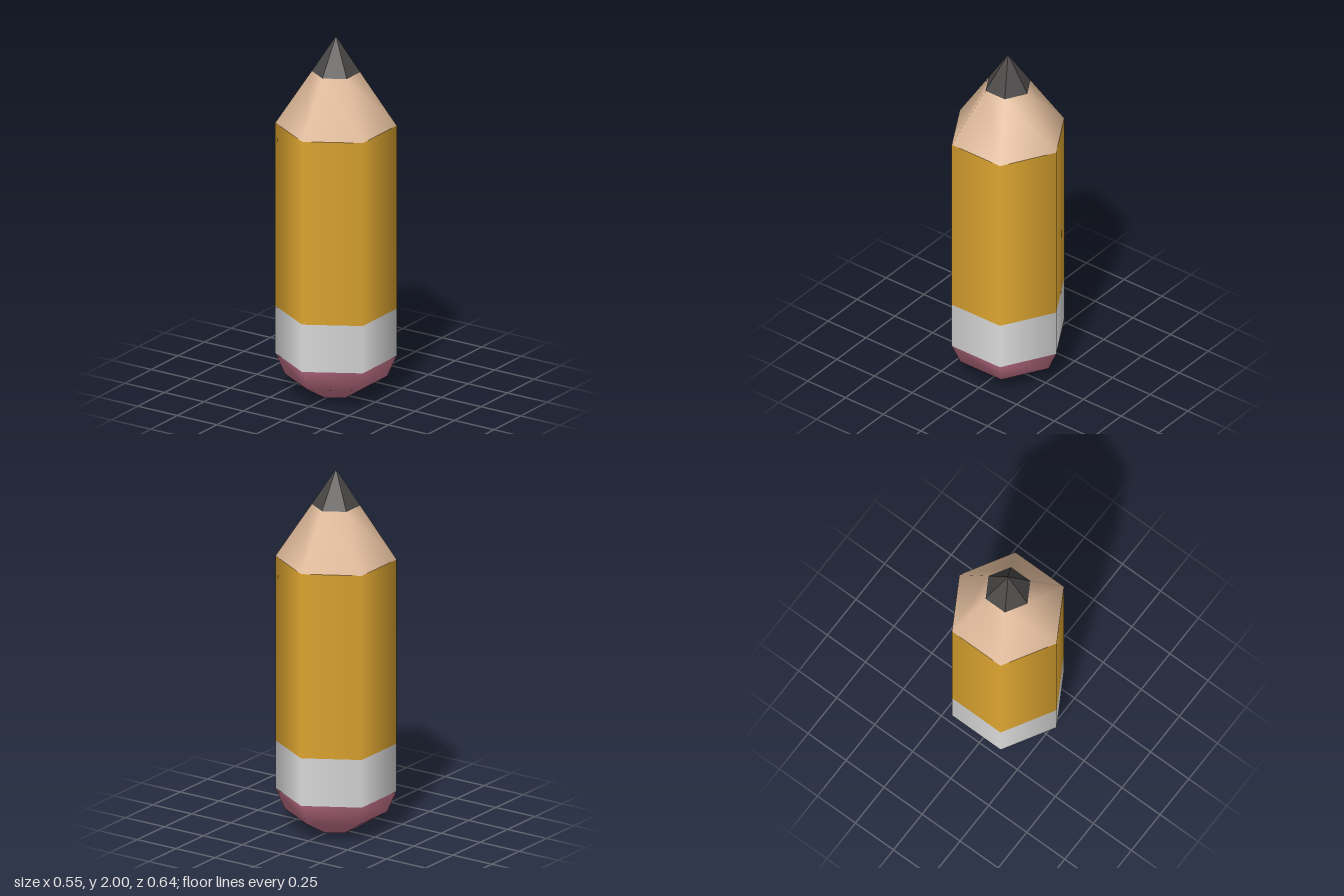
import * as THREE from 'three';

const SIDES = 6;
const RADIUS = 0.32;

const material = (name, color) => {
  const m = new THREE.MeshStandardMaterial({ color });
  m.name = name;
  return m;
};

// Smooth six-sided shell from a [radius, height] profile, bottom to top
function shell(name, profile, mat) {
  const points = profile.map(([r, y]) => new THREE.Vector2(r, y));
  const mesh = new THREE.Mesh(new THREE.LatheGeometry(points, SIDES), mat);
  mesh.name = name;
  return mesh;
}

export function createModel() {
  const pencil = new THREE.Group();
  pencil.name = 'pencil';

  // Rounded eraser, metal band, painted barrel and sharpened wood
  pencil.add(
    shell('eraser', [[0, 0], [0.107, 0.005], [0.27, 0.1], [RADIUS, 0.215]], material('pink rubber', 0xd97f9a)),
    shell('band', [[RADIUS, 0.215], [RADIUS, 0.48]], material('light grey metal', 0xdcdcdc)),
    shell('barrel', [[RADIUS, 0.48], [RADIUS, 1.505]], material('yellow paint', 0xe0a731)),
    shell('sharpenedWood', [[RADIUS, 1.505], [0.128, 1.8]], material('bare wood', 0xe0bb9b)),
  );

  // Faceted lead tip
  const tip = new THREE.ConeGeometry(0.128, 0.2, SIDES, 1, true).toNonIndexed();
  tip.computeVertexNormals();
  tip.translate(0, 1.9, 0);
  const lead = new THREE.Mesh(tip, material('dark lead', 0x4a4847));
  lead.name = 'leadTip';
  pencil.add(lead);

  return pencil;
}
